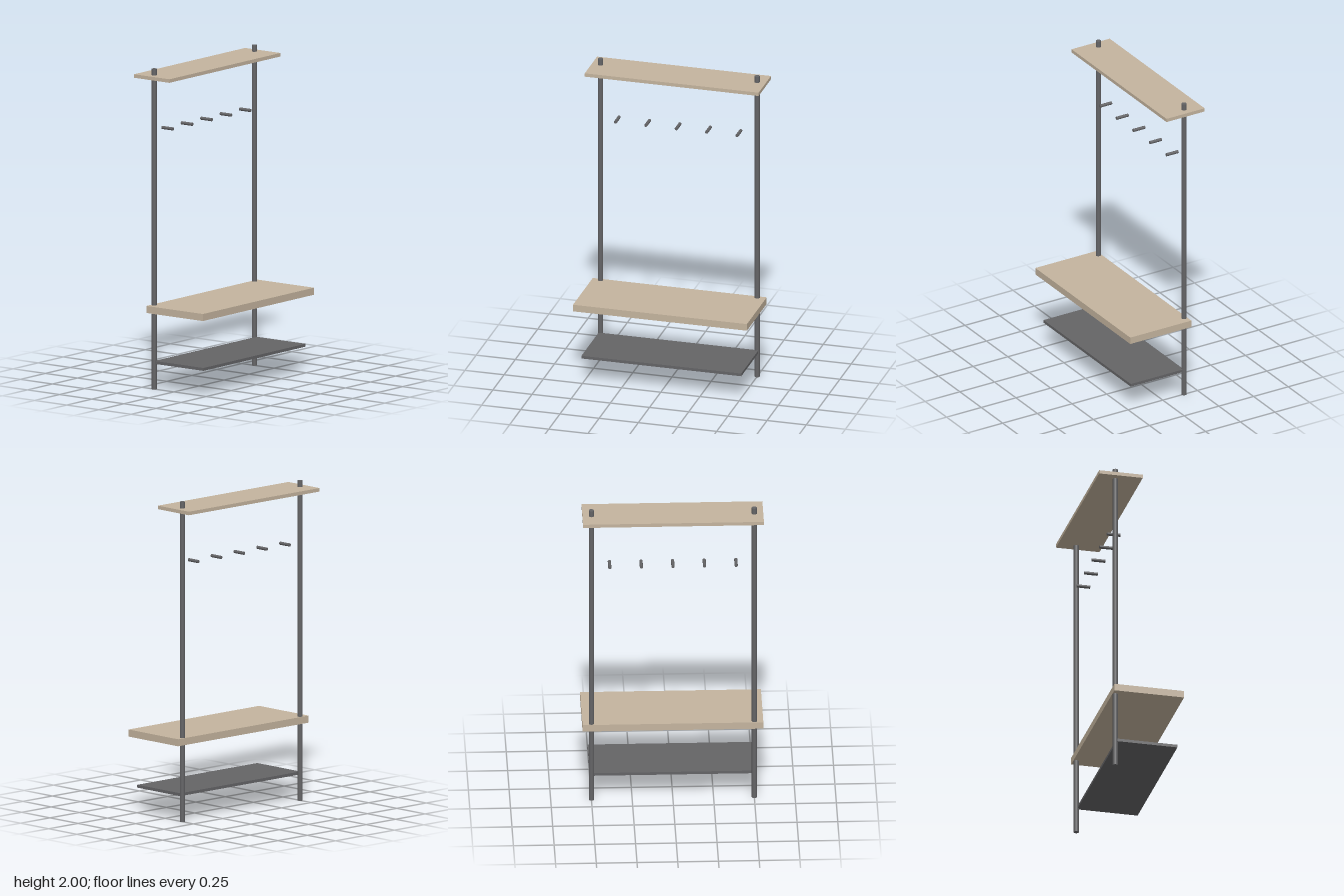
import * as THREE from 'three';

const wood = new THREE.MeshStandardMaterial({ color: 0xc4b49e });
const metal = new THREE.MeshStandardMaterial({ color: 0x646466 });
const POST_Z = -0.153;

export function createModel() {
  const group = new THREE.Group();

  const add = (name, geometry, material, x, y, z) => {
    const mesh = new THREE.Mesh(geometry, material);
    mesh.name = name;
    mesh.position.set(x, y, z);
    group.add(mesh);
    return mesh;
  };

  // Flat board given by its width and its y and z extents
  const board = (name, material, width, y0, y1, z0, z1) =>
    add(name, new THREE.BoxGeometry(width, y1 - y0, z1 - z0), material, 0, (y0 + y1) / 2, (z0 + z1) / 2);

  // Two full-height round posts
  const postGeometry = new THREE.CylinderGeometry(0.016, 0.016, 2, 24);
  add('leftPost', postGeometry, metal, 0.5, 1, POST_Z);
  add('rightPost', postGeometry, metal, -0.5, 1, POST_Z);

  // Hat shelf, bench seat and shoe shelf
  board('topShelf', wood, 1.11, 1.938, 1.96, -0.268, 0.007);
  board('benchSeat', wood, 1.11, 0.481, 0.525, -0.172, 0.268);
  board('shoeShelf', metal, 1.02, 0.16, 0.178, -0.145, 0.237);

  // Row of coat pegs pointing forward
  const pegGeometry = new THREE.CylinderGeometry(0.01, 0.01, 0.084, 16).rotateX(Math.PI / 2);
  for (let i = -2; i <= 2; i++) {
    add(`coatPeg${i + 3}`, pegGeometry, metal, i * 0.194, 1.614, -0.136);
  }

  return group;
}
